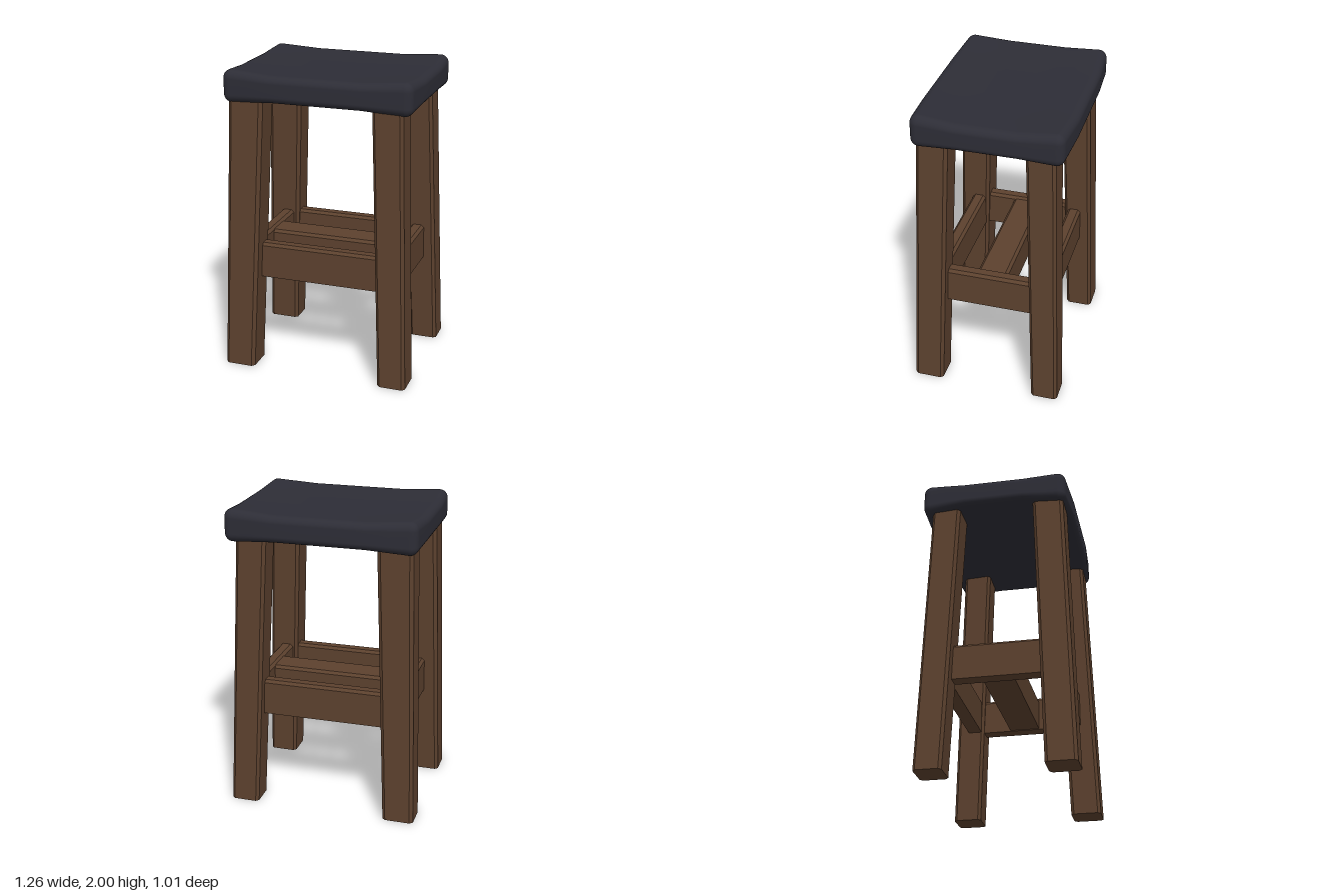
import * as THREE from 'three';
import { mergeVertices } from 'three/addons/utils/BufferGeometryUtils.js';

const lerp = THREE.MathUtils.lerp;
const clamp = THREE.MathUtils.clamp;

// Block with bevelled corners, extruded along its own z axis
function bevelledBlock(points, depth) {
  const shape = new THREE.Shape(points.map(([x, y]) => new THREE.Vector2(x, y)));
  return new THREE.ExtrudeGeometry(shape, { depth, bevelEnabled: false });
}

// Leg spanning [min, max] in x and z at the floor, leaning to another span at the top
function legGeometry(floorX, topX, floorZ, topZ) {
  const c = 0.1, d = 1 - c, height = 1.84;
  const g = bevelledBlock([[c, 0], [d, 0], [1, c], [1, d], [d, 1], [c, 1], [0, d], [0, c]], 1);
  g.rotateX(-Math.PI / 2);
  const p = g.attributes.position;
  for (let i = 0; i < p.count; i++) {
    const u = p.getX(i), t = p.getY(i), v = 1 + p.getZ(i);
    p.setXYZ(i,
      lerp(lerp(floorX[0], floorX[1], u), lerp(topX[0], topX[1], u), t),
      t * height,
      lerp(lerp(floorZ[0], floorZ[1], v), lerp(topZ[0], topZ[1], v), t));
  }
  g.computeVertexNormals();
  return g;
}

// Horizontal rail along z with bevelled top edges
function railGeometry(length, width, bottom, top) {
  const w = width / 2, b = 0.018;
  const g = bevelledBlock([[-w, bottom], [w, bottom], [w, top - b], [w - b, top], [-w + b, top], [-w, top - b]], length);
  return g.translate(0, 0, -length / 2);
}

// Rounded cushion, thinner in the middle, with gently bowed sides
function cushionGeometry() {
  const r = 0.055, half = [0.627, 0.105, 0.492];
  const corner = [45, 34, 22.5, 11].map(a => r * Math.tan(a * Math.PI / 180));
  const samples = half.map((h, axis) => {
    const inner = axis === 0 ? [0.45, 0.3, 0.15] : axis === 2 ? [0.32, 0.2, 0.1] : [];
    const side = [...corner.map(t => h - r + t), h - r, ...inner];
    return [...side.map(s => -s), 0, ...side.slice().reverse()];
  });
  const n = samples.map(s => s.length - 1);
  let g = new THREE.BoxGeometry(1, 1, 1, ...n);
  const p = g.attributes.position;
  for (let i = 0; i < p.count; i++) {
    const q = [p.getX(i), p.getY(i), p.getZ(i)].map((v, a) => samples[a][Math.round((v + 0.5) * n[a])]);
    const core = new THREE.Vector3(...q.map((v, a) => clamp(v, r - half[a], half[a] - r)));
    const v = new THREE.Vector3(...q).sub(core).setLength(r).add(core);
    const fx = clamp((Math.abs(v.x) - 0.3) / 0.27, 0, 1);
    const fz = clamp((Math.abs(v.z) - 0.2) / 0.23, 0, 1);
    const thick = 0.078 + 0.008 * (fx + fz) + 0.011 * fx * fz;
    p.setXYZ(i, v.x * (1 - 0.018 * fz), v.y * thick / half[1], v.z * (1 - 0.035 * fx));
  }
  g.deleteAttribute('uv');
  g.deleteAttribute('normal');
  g = mergeVertices(g, 1e-5);
  g.computeVertexNormals();
  return g;
}

export function createModel() {
  const wood = new THREE.MeshStandardMaterial({ color: 0x5c412e });
  wood.name = 'brown wood';
  const leather = new THREE.MeshStandardMaterial({ color: 0x2d2d36 });
  leather.name = 'dark leather';

  const model = new THREE.Group();
  model.name = 'stool';
  const add = (name, geometry, material, x = 0, y = 0, z = 0, turn = 0) => {
    const mesh = new THREE.Mesh(geometry, material);
    mesh.name = name;
    mesh.position.set(x, y, z);
    mesh.rotation.y = turn;
    model.add(mesh);
  };

  // Seat
  add('seatCushion', cushionGeometry(), leather, 0, 1.895, -0.012);

  // Four splayed legs
  const xSpans = { left: [[0.432, 0.618], [0.358, 0.555]], right: [[-0.63, -0.426], [-0.58, -0.352]] };
  const zSpans = { front: [[0.308, 0.505], [0.24, 0.44]], back: [[-0.486, -0.308], [-0.425, -0.24]] };
  for (const [end, z] of Object.entries(zSpans))
    for (const [side, x] of Object.entries(xSpans))
      add(end + (side === 'left' ? 'Left' : 'Right') + 'Leg', legGeometry(x[0], x[1], z[0], z[1]), wood);

  // Rails between the legs
  for (const s of [1, -1]) {
    add(s > 0 ? 'frontRail' : 'backRail', railGeometry(0.98, 0.09, 0.615, 0.85), wood, 0, 0, s * 0.345, Math.PI / 2);
    add(s > 0 ? 'leftRail' : 'rightRail', railGeometry(0.74, 0.09, 0.615, 0.85), wood, s * 0.475, 0, 0);
  }

  // Middle stretcher joining the side rails
  add('middleStretcher', railGeometry(0.92, 0.2, 0.62, 0.835), wood, 0, 0, 0, Math.PI / 2);

  return model;
}
